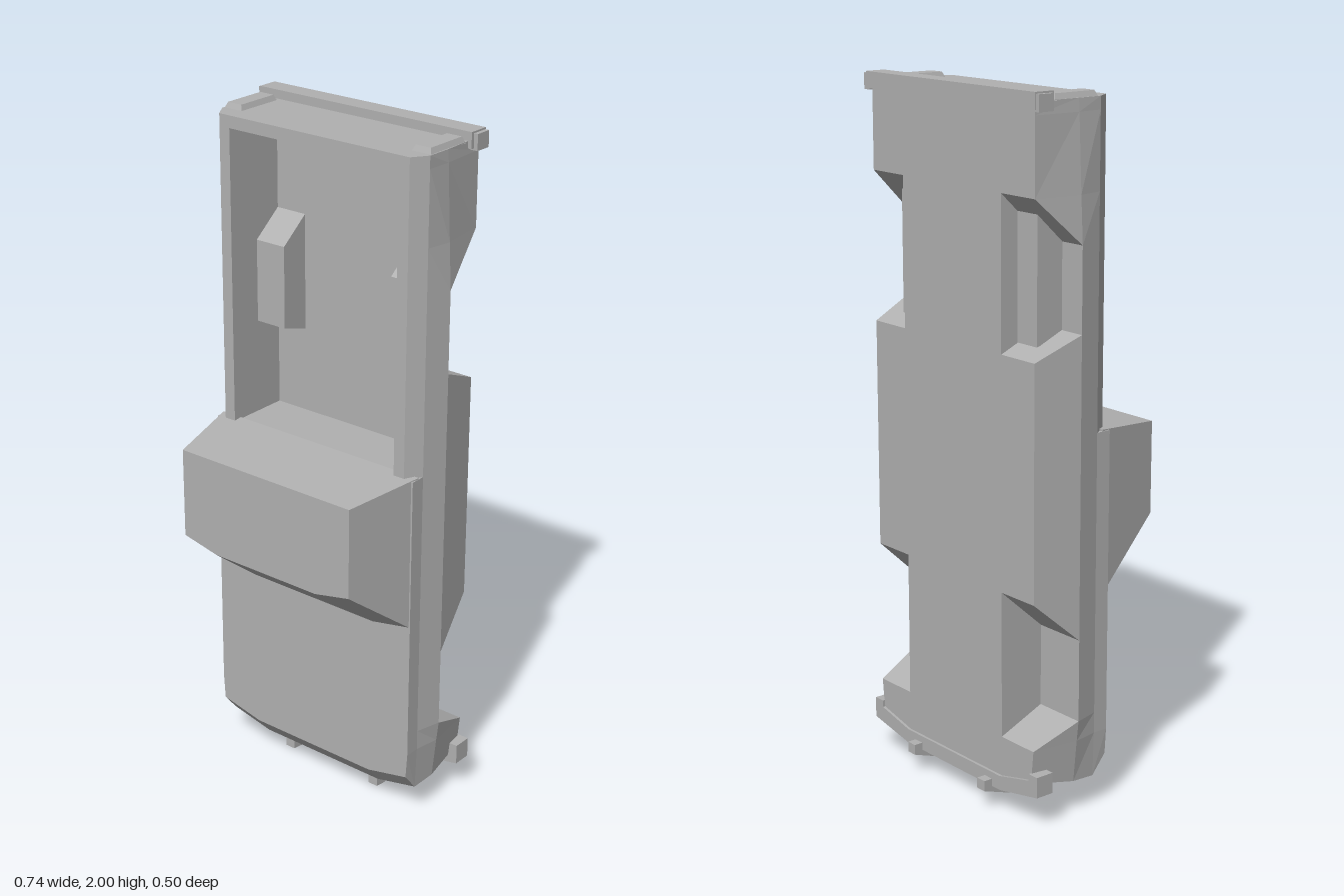
import * as THREE from 'three';

const grey = new THREE.MeshStandardMaterial({ color: 0xb0b0b0 });
grey.name = 'plain grey';

// Collects flat quads together with their mirror images across x = 0
function mirroredSkin() {
  const pos = [];
  const tri = (a, b, c) => {
    const [A, B, C] = [a, b, c].map((p) => new THREE.Vector3(...p));
    if (B.clone().sub(A).cross(C.clone().sub(A)).length() < 1e-8) return;
    pos.push(...a, ...b, ...c);
    const m = (p) => [-p[0], p[1], p[2]];
    pos.push(...m(a), ...m(c), ...m(b));
  };
  const quad = (a, b, c, d) => { tri(a, b, c); tri(a, c, d); };
  const build = () => {
    const g = new THREE.BufferGeometry();
    g.setAttribute('position', new THREE.Float32BufferAttribute(pos, 3));
    g.computeVertexNormals();
    return g;
  };
  return { tri, quad, build };
}

const lerpTable = (table, v) => {
  for (let i = 1; i < table.length; i++) {
    const [a, p] = table[i - 1], [b, q] = table[i];
    if (v <= b) return p + (q - p) * Math.max(0, (v - a) / (b - a));
  }
  return table[table.length - 1][1];
};

const BOTTOM = -0.215, BELT = 0.045, ARCH = -0.075, FLOOR = -0.15;

// Nose face: depth by height, swept back towards the sides
const noseY = (x, z) => lerpTable([[BOTTOM, 0.1], [ARCH, 0.07], [0, 0.065], [BELT, 0.12]], z)
  + 0.03 * Math.max(0, (x - 0.21) / 0.135);
const noseX = (z) => lerpTable([[BOTTOM, 0.335], [ARCH, 0.35], [0, 0.345], [BELT, 0.345]], z);

// Half cross-section, from the middle of the underside to the middle of the top
function section(y, { well = 0, bulge = 0.37, top = 0.35, bed = false, low = 0.345 }) {
  const rail = top < 0.34 ? 0.285 : 0.21;
  const floor = bed ? FLOOR : BELT;
  return [
    [0, y, BOTTOM], [0.21, y, BOTTOM],
    [0.21, y, well ? ARCH : BOTTOM], well ? [bulge, y, ARCH] : [low, y, BOTTOM],
    [bulge, y, ARCH], [0.35, y, 0], [top, y, BELT],
    [rail, y, BELT], [rail, y, floor], [0, y, floor],
  ];
}

function bodyGeometry() {
  const skin = mirroredSkin();
  const nose = section(0, { bulge: 0.35, low: 0.335 }).map(([x, , z]) => {
    const px = x > 0.3 ? noseX(z) : x;
    return [px, noseY(px, z), z];
  });
  const rail = { top: 0.32 }, bed = { top: 0.32, bed: true };
  const rings = [
    nose,
    section(0.225, { bulge: 0.363 }),
    section(0.285, { well: 1 }),
    section(0.52, { well: 1 }),
    section(0.645, {}),
    section(1.085, {}),
    section(1.085, bed),
    section(1.305, bed),
    section(1.365, { ...bed, well: 1 }),
    section(1.6, { ...bed, well: 1 }),
    section(1.73, { ...bed, bulge: 0.363 }),
    section(1.94, { ...bed, bulge: 0.353 }),
    section(1.94, { ...rail, bulge: 0.353 }),
    section(1.975, { ...rail, bulge: 0.351 }),
  ];
  for (let s = 0; s < rings.length - 1; s++) {
    const a = rings[s], b = rings[s + 1];
    for (let i = 0; i < a.length - 1; i++) skin.quad(a[i], b[i], b[i + 1], a[i + 1]);
  }
  // Tail face
  const t = rings[rings.length - 1];
  for (let i = 1; i < t.length - 1; i++) skin.tri(t[0], t[i + 1], t[i]);
  // Nose face with a sunken grille
  const rows = [[BOTTOM, 0], [-0.16, 0], [-0.16, 1], [ARCH, 1], [-0.02, 1], [-0.02, 0], [0, 0], [BELT, 0]]
    .map(([z, sunk]) => [0, 0.21, 0.3, noseX(z)].map((x, k) =>
      [x, noseY(x, z) + (sunk && k < 3 ? 0.03 : 0), z]));
  for (let j = 0; j < rows.length - 1; j++) {
    for (let k = 0; k < 3; k++) {
      skin.quad(rows[j][k], rows[j][k + 1], rows[j + 1][k + 1], rows[j + 1][k]);
    }
  }
  return skin.build();
}

// Cab: bowed windscreen, leaning sides, flat roof
function cabGeometry() {
  const skin = mirroredSkin();
  const base = [[0, 0.615, 0.044], [0.22, 0.615, 0.044], [0.346, 0.64, 0.044], [0.35, 1.09, 0.02], [0, 1.09, 0.02]];
  const roof = [[0, 0.775, 0.25], [0.18, 0.775, 0.25], [0.297, 0.8, 0.25], [0.297, 1.065, 0.25], [0, 1.065, 0.25]];
  for (let i = 0; i < 4; i++) skin.quad(base[i], base[i + 1], roof[i + 1], roof[i]);
  for (let i = 1; i < 4; i++) {
    skin.tri(roof[0], roof[i], roof[i + 1]);
    skin.tri(base[0], base[i + 1], base[i]);
  }
  return skin.build();
}

// Side profile given as [y, z] points, extruded along x
function sidePrism(points, x0, width) {
  const shape = new THREE.Shape(points.map((p) => new THREE.Vector2(...p)));
  const g = new THREE.ExtrudeGeometry(shape, { depth: width, bevelEnabled: false });
  g.applyMatrix4(new THREE.Matrix4().makeBasis(
    new THREE.Vector3(0, 1, 0), new THREE.Vector3(0, 0, 1), new THREE.Vector3(1, 0, 0)));
  return g.translate(x0, 0, 0);
}

function block(x0, x1, y0, y1, z0, z1) {
  return new THREE.BoxGeometry(x1 - x0, y1 - y0, z1 - z0)
    .translate((x0 + x1) / 2, (y0 + y1) / 2, (z0 + z1) / 2);
}

// Box whose +y face is inset on all sides
function bevelledLamp(w, h, d, inset) {
  const g = new THREE.BoxGeometry(w, h, d).toNonIndexed();
  const p = g.attributes.position;
  for (let i = 0; i < p.count; i++) {
    if (p.getY(i) < 0) continue;
    p.setX(i, p.getX(i) - Math.sign(p.getX(i)) * inset);
    p.setZ(i, p.getZ(i) - Math.sign(p.getZ(i)) * inset);
  }
  g.computeVertexNormals();
  return g;
}

export function createModel() {
  const model = new THREE.Group();
  model.name = 'pickupTruck';
  const add = (name, geometry) => {
    const mesh = new THREE.Mesh(geometry, grey);
    mesh.name = name;
    model.add(mesh);
    return mesh;
  };

  add('body', bodyGeometry());
  add('cab', cabGeometry());

  // Bumpers
  const outline = [[0.37, 0.16], [0.37, 0.1], [0.21, 0.068]];
  const inner = [[0.21, 0.11], [0.335, 0.14], [0.335, 0.16]];
  const half = [...outline, ...inner];
  const flip = (pts) => pts.map(([x, y]) => [-x, y]).reverse();
  const ring = [...half.slice(0, 3), ...flip(half.slice(0, 3)), ...flip(half.slice(3)), ...half.slice(3)];
  add('frontBumper', new THREE.ExtrudeGeometry(
    new THREE.Shape(ring.map((p) => new THREE.Vector2(...p))),
    { depth: 0.055, bevelEnabled: false }).translate(0, 0, -0.223));
  add('rearBumper', block(-0.358, 0.358, 1.955, 2, -0.226, -0.165));

  for (const [side, s] of [['left', 1], ['right', -1]]) {
    const centred = (x, w) => s * x - w / 2;
    add(side + 'RearBumperEnd', block(centred(0.358, 0.024), centred(0.358, 0.024) + 0.024, 1.95, 1.995, -0.224, -0.175));
    add(side + 'TailLamp', bevelledLamp(0.063, 0.018, 0.148, 0.008)).position.set(s * 0.317, 1.981, -0.08);
    // Wheel housings inside the load bed
    add(side + 'BedWheelHousing', sidePrism(
      [[1.33, FLOOR - 0.01], [1.36, -0.06], [1.6, -0.06], [1.68, FLOOR - 0.01]], centred(0.238, 0.104), 0.104));
    // Nose guard uprights
    add(side + 'GuardUpright', sidePrism(
      [[0, -0.075], [0.005, -0.04], [0.04, -0.04], [0.09, -0.2], [0.09, -0.25], [0.06, -0.25]], centred(0.16, 0.032), 0.032));
  }

  // Nose guard cross bars
  for (const [y, z] of [[0.028, -0.07], [0.048, -0.13], [0.066, -0.19]]) {
    add('guardCrossBar', block(-0.16, 0.16, y - 0.01, y + 0.01, z - 0.012, z + 0.012));
  }
  return model;
}
